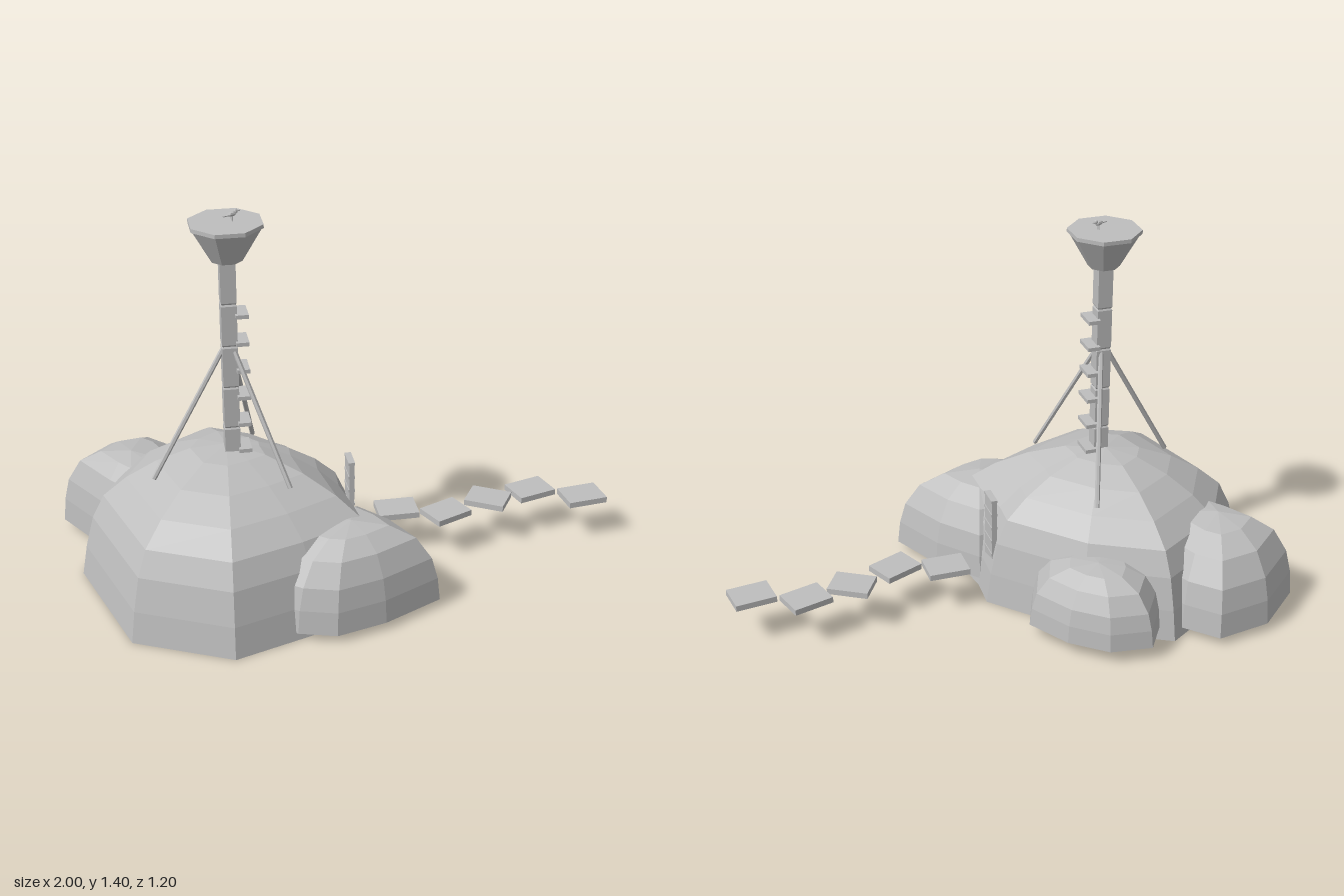
import * as THREE from 'three';

const stone = new THREE.MeshStandardMaterial({ color: 0xbebebe, flatShading: true, side: THREE.DoubleSide });
stone.name = 'grey stone';

function add(parent, name, geometry, x = 0, y = 0, z = 0, ry = 0) {
  const mesh = new THREE.Mesh(geometry, stone);
  mesh.name = name;
  mesh.position.set(x, y, z);
  mesh.rotation.y = ry;
  parent.add(mesh);
  return mesh;
}

// Open shell: an irregular base outline [x, z] shrinks towards the apex along a profile [scale, y]
function shell(outline, [cx, cz], profile, base, height) {
  const n = outline.length, pos = [], index = [];
  for (const [s, t] of profile)
    for (const [x, z] of outline) pos.push(cx + (x - cx) * s, base + t * height, cz + (z - cz) * s);
  for (let i = 0; i < profile.length - 1; i++)
    for (let j = 0; j < n; j++) {
      const a = i * n + j, b = i * n + (j + 1) % n;
      index.push(a, b, b + n, a, b + n, a + n);
    }
  const apex = pos.length / 3, last = (profile.length - 1) * n;
  pos.push(cx, base + height, cz);
  for (let j = 0; j < n; j++) index.push(last + j, last + (j + 1) % n, apex);
  const g = new THREE.BufferGeometry();
  g.setAttribute('position', new THREE.Float32BufferAttribute(pos, 3));
  g.setIndex(index);
  g.computeVertexNormals();
  return g;
}

// Straight rod between two points
function rod(parent, name, from, to, radius, sides = 6) {
  const a = new THREE.Vector3(...from), b = new THREE.Vector3(...to);
  const mesh = add(parent, name, new THREE.CylinderGeometry(radius, radius, a.distanceTo(b), sides));
  mesh.position.copy(a).add(b).multiplyScalar(0.5);
  mesh.quaternion.setFromUnitVectors(new THREE.Vector3(0, 1, 0), b.sub(a).normalize());
}

export function createModel() {
  const model = new THREE.Group();
  model.name = 'domeHouse';

  // Main dome
  const wide = [[1, 0], [0.965, 0.22], [0.91, 0.45], [0.83, 0.62], [0.67, 0.76], [0.47, 0.88], [0.24, 0.97]];
  add(model, 'mainDome', shell(
    [[-0.95, -0.05], [-0.81, 0.43], [-0.475, 0.595], [-0.17, 0.49], [0.107, 0.354],
      [0.06, 0.05], [0.066, -0.07], [-0.2, -0.36], [-0.49, -0.52], [-0.8, -0.32]],
    [-0.42, 0.02], wide, 0, 0.52));

  // Side domes, reaching well inside the main dome
  const round = [[1, 0], [0.97, 0.28], [0.9, 0.54], [0.72, 0.8], [0.42, 0.95]];
  add(model, 'frontSideDome', shell(
    [[-0.36, 0.43], [-0.25, 0.52], [-0.12, 0.56], [0.06, 0.51], [0.275, 0.4], [0.18, 0.2], [0.055, 0.05], [-0.12, 0.06], [-0.33, 0.12]],
    [-0.03, 0.32], round, 0.028, 0.31));
  add(model, 'backLeftDome', shell(
    [[-1, -0.4], [-0.86, -0.16], [-0.76, -0.03], [-0.56, -0.03], [-0.42, -0.1], [-0.46, -0.3],
      [-0.53, -0.49], [-0.63, -0.595], [-0.83, -0.56]],
    [-0.74, -0.29], round, 0.03, 0.33));
  add(model, 'backRightDome', shell(
    [[-0.46, -0.46], [-0.5, -0.25], [-0.42, -0.1], [-0.25, -0.08], [-0.07, -0.18], [-0.01, -0.33],
      [-0.1, -0.48], [-0.22, -0.58], [-0.37, -0.6]],
    [-0.25, -0.37], round, 0.05, 0.235));

  // Square tower of stacked segments with bevelled ends
  const tx = -0.402, tz = 0.045;
  const tower = new THREE.Group();
  tower.name = 'tower';
  model.add(tower);
  const joints = [0.48, 0.605, 0.76, 0.915, 1.07, 1.23];
  for (let i = 0; i < joints.length - 1; i++) {
    const h = joints[i + 1] - joints[i];
    const profile = [[0.033, 0], [0.038, 0.006], [0.038, h - 0.006], [0.033, h]].map(p => new THREE.Vector2(...p));
    add(tower, 'towerSegment', new THREE.LatheGeometry(profile, 4), tx, joints[i], tz, Math.PI / 4);
  }

  // Steps up the tower
  for (let i = 0; i < 6; i++)
    add(tower, 'towerStep', new THREE.BoxGeometry(0.045, 0.014, 0.088), tx + 0.0425, 0.52 + i * 0.102, tz);

  // Bracing struts
  for (const foot of [[-0.685, 0.44, 0.085], [-0.23, 0.45, 0.258], [-0.295, 0.42, -0.228]])
    rod(tower, 'strut', [tx, 0.94, tz], foot, 0.009);

  // Eight-sided lookout with a thin rim
  add(tower, 'lookout', new THREE.CylinderGeometry(0.126, 0.056, 0.122, 8), tx, 1.287, tz, Math.PI / 8);
  add(tower, 'lookoutRim', new THREE.CylinderGeometry(0.131, 0.131, 0.014, 8), tx, 1.354, tz, Math.PI / 8);

  // Small perched bird
  const bird = new THREE.Group();
  bird.name = 'bird';
  bird.position.set(-0.38, 1.361, 0.045);
  bird.rotation.y = 0.45;
  model.add(bird);
  for (const s of [-1, 1]) rod(bird, 'birdLeg', [0, 0, 0.004 * s], [0, 0.02, 0.004 * s], 0.0015, 4);
  add(bird, 'birdBody', new THREE.SphereGeometry(1, 6, 4), 0, 0.024, 0).scale.set(0.02, 0.008, 0.009);
  add(bird, 'birdHead', new THREE.SphereGeometry(0.008, 6, 4), 0.016, 0.032, 0);
  rod(bird, 'birdBeak', [0.02, 0.032, 0], [0.032, 0.03, 0], 0.002, 4);
  add(bird, 'birdTail', new THREE.BoxGeometry(0.02, 0.003, 0.008), -0.025, 0.022, 0);

  // Upright entrance panel with thin cross bars
  add(model, 'entrancePanel', new THREE.BoxGeometry(0.018, 0.265, 0.084), 0.028, 0.2725, -0.003);
  for (let i = 0; i < 5; i++)
    add(model, 'entranceBar', new THREE.BoxGeometry(0.024, 0.01, 0.084), 0.028, 0.18 + i * 0.055, -0.003);

  // Floating stepping stones
  const stones = [[0.21, -0.032, 0], [0.385, 0.022, 0.42], [0.563, -0.045, -0.54], [0.737, -0.082, 0.29], [0.917, -0.003, 0.13]];
  for (const [x, z, turn] of stones)
    add(model, 'steppingStone', new THREE.BoxGeometry(0.15, 0.022, 0.118), x, 0.156, z, turn);

  return model;
}
